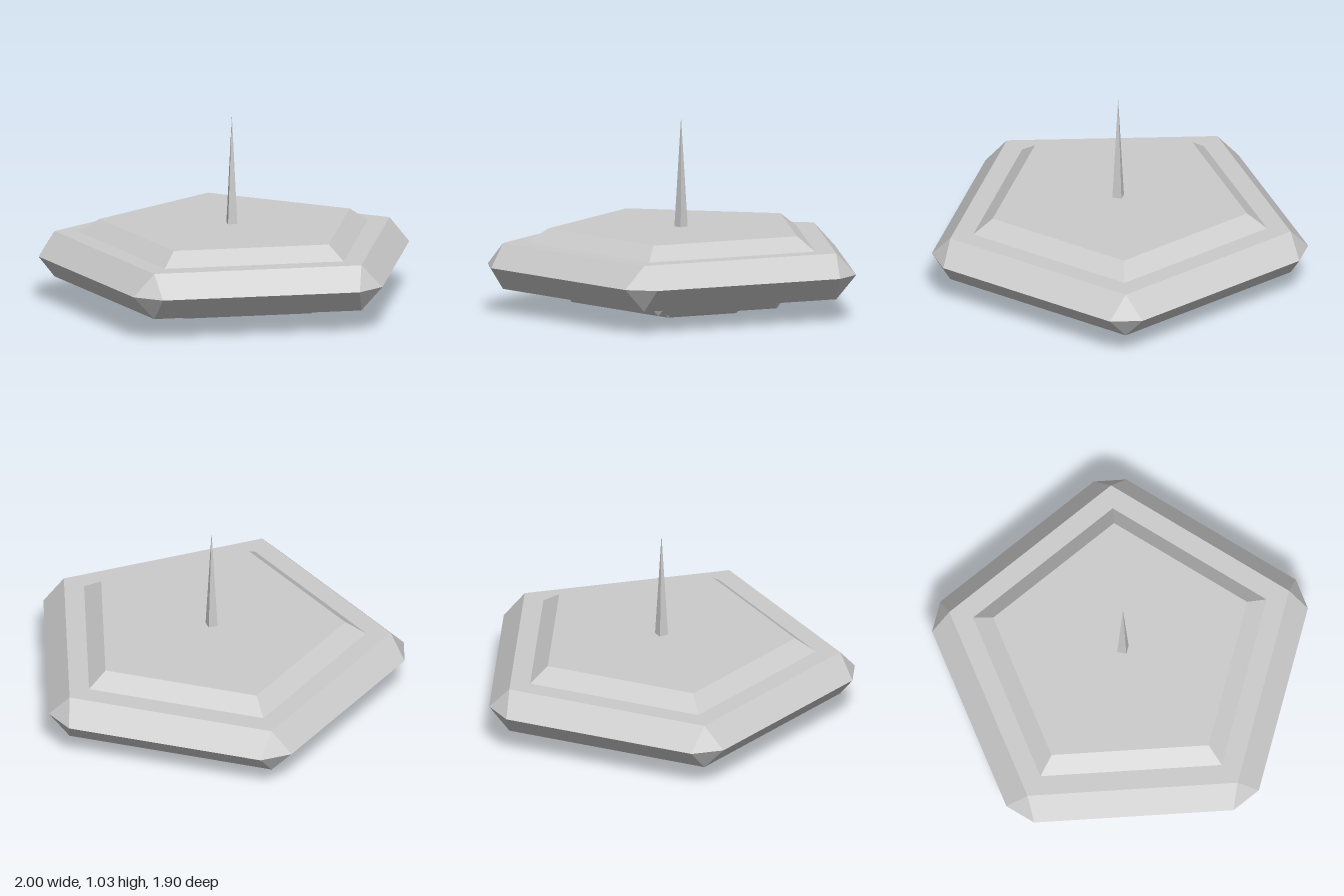
import * as THREE from 'three';

const material = new THREE.MeshStandardMaterial({ color: 0xcccccc, flatShading: true });
const CENTER_Z = 0.07;

// Pentagon ring pointing to -z; each corner is cut by a short edge of half-width w (0 = sharp).
function ring([r, w, y]) {
  const points = [];
  for (let k = 0; k < 5; k++) {
    const a = -Math.PI / 2 + (k * 2 * Math.PI) / 5;
    for (const s of [-w, w]) {
      points.push(new THREE.Vector3(
        r * Math.cos(a) - s * Math.sin(a), y, r * Math.sin(a) + s * Math.cos(a)));
    }
  }
  return points;
}

// Closed solid lofted through rings listed from bottom to top.
function tier(name, sections) {
  const rings = sections.map(ring);
  const positions = [];
  const tri = (a, b, c) => {
    if (a.equals(b) || b.equals(c) || a.equals(c)) return;
    for (const p of [a, b, c]) positions.push(p.x, p.y, p.z);
  };
  const bottom = rings[0], top = rings[rings.length - 1];
  for (let i = 0; i < 10; i++) {
    const j = (i + 1) % 10;
    for (let k = 0; k < rings.length - 1; k++) {
      const lo = rings[k], hi = rings[k + 1];
      tri(lo[i], hi[i], lo[j]);
      tri(lo[j], hi[i], hi[j]);
    }
    tri(new THREE.Vector3(0, bottom[0].y, 0), bottom[i], bottom[j]);
    tri(new THREE.Vector3(0, top[0].y, 0), top[j], top[i]);
  }
  const geometry = new THREE.BufferGeometry();
  geometry.setAttribute('position', new THREE.Float32BufferAttribute(positions, 3));
  geometry.computeVertexNormals();
  const mesh = new THREE.Mesh(geometry, material);
  mesh.name = name;
  return mesh;
}

export function createModel() {
  const model = new THREE.Group();
  model.name = 'pentagonalStation';

  // Stacked tiers: [corner radius, corner cut half-width, height]
  const hull = new THREE.Group();
  hull.name = 'hull';
  hull.position.z = CENTER_Z;
  hull.add(
    tier('lowerFoot', [[0.338, 0, 0], [0.36, 0.04, 0.044]]),
    tier('lowerDeck', [[0.584, 0, 0.044], [0.62, 0.065, 0.12]]),
    tier('mainDisc', [[0.95, 0, 0.12], [1.022, 0.087, 0.245], [0.95, 0, 0.366]]),
    tier('upperDeck', [[0.82, 0, 0.366], [0.71, 0, 0.44]]),
  );

  // Square tapering spire
  const height = 0.59;
  const spireGeometry = new THREE.ConeGeometry(0.025 * Math.SQRT2, height, 4);
  spireGeometry.rotateY(Math.PI / 4);
  const spire = new THREE.Mesh(spireGeometry, material);
  spire.name = 'spire';
  spire.position.y = 0.44 + height / 2;
  hull.add(spire);

  model.add(hull);
  return model;
}
